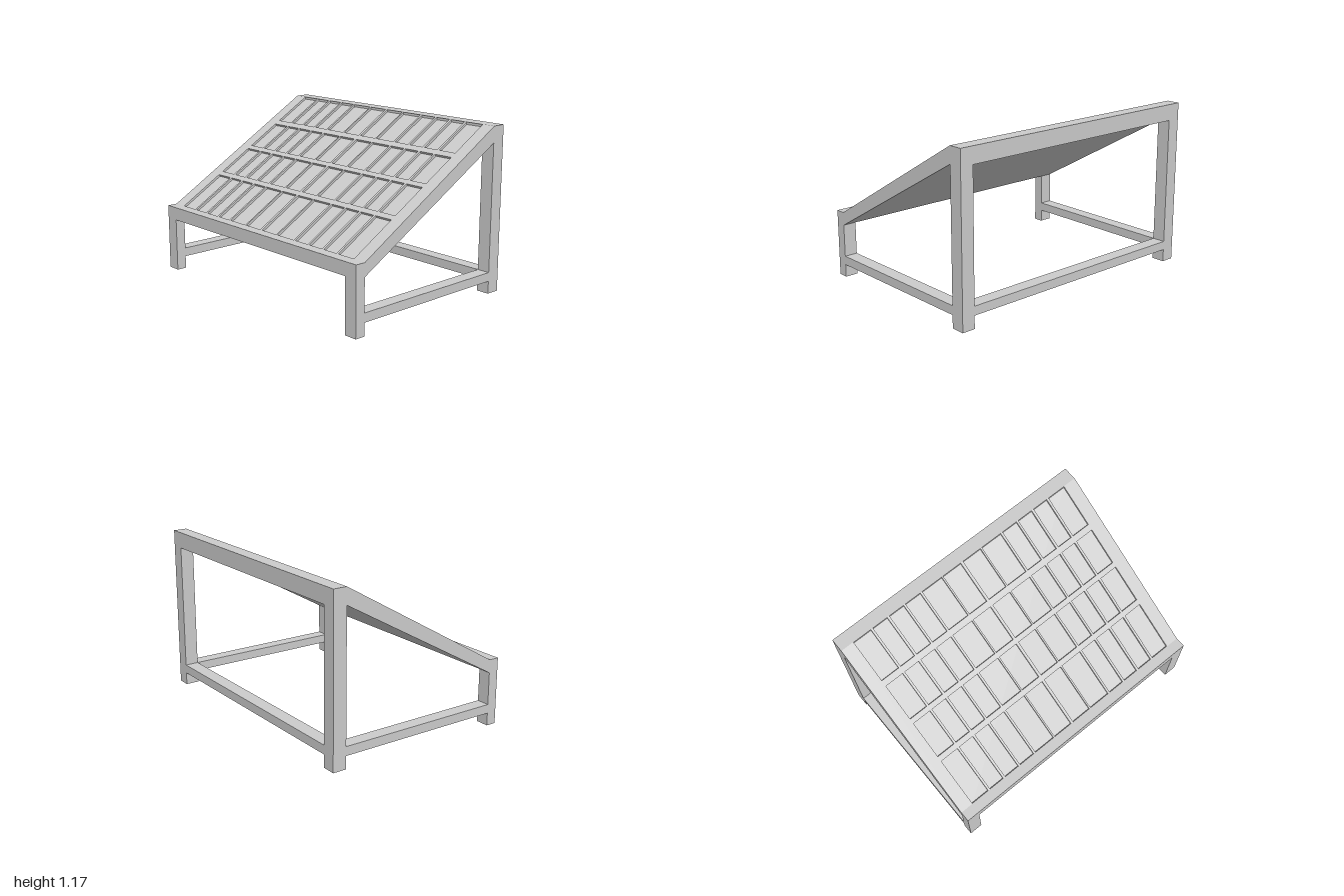
import * as THREE from 'three';

export function createModel() {
  const model = new THREE.Group();
  const material = new THREE.MeshStandardMaterial({ color: 0xcccccc, flatShading: true });

  const add = (name, geometry) => {
    const mesh = new THREE.Mesh(geometry, material);
    mesh.name = name;
    model.add(mesh);
    return mesh;
  };
  // Box given by its limits on each axis
  const box = (name, [x0, x1], [y0, y1], [z0, z1]) =>
    add(name, new THREE.BoxGeometry(x1 - x0, y1 - y0, z1 - z0))
      .position.set((x0 + x1) / 2, (y0 + y1) / 2, (z0 + z1) / 2);
  // Profile of [z, y] points extruded along x about a centre
  const slab = (name, points, width, x) => {
    const shape = new THREE.Shape(points.map(([z, y]) => new THREE.Vector2(z, y)));
    const geometry = new THREE.ExtrudeGeometry(shape, { depth: width, bevelEnabled: false });
    geometry.translate(0, 0, -width / 2).rotateY(-Math.PI / 2);
    add(name, geometry).position.x = x;
  };

  const frontZ = [0.61, 0.683], backZ = [-0.683, -0.585];
  const inner = 0.904, lowY = 0.475, highY = 1.172;
  const run = frontZ[0] - backZ[1], rise = highY - lowY;
  const angle = Math.atan2(rise, run), depth = 0.016;
  const drop = depth / Math.cos(angle);

  // Legs, sloping side rails and low side stretchers
  for (const side of [-1, 1]) {
    const xs = side > 0 ? [inner, 1] : [-1, -inner];
    box('frontLeg', xs, [0, lowY], frontZ);
    box('backLeg', xs, [0, highY], backZ);
    box('sideStretcher', xs, [0.09, 0.153], [backZ[1], frontZ[0]]);
    slab('slopingRail', [[frontZ[0], 0.382], [frontZ[0], lowY], [backZ[1], highY], [backZ[1], 1.057]],
      1 - inner, side * (1 + inner) / 2);
  }

  // Cross rails
  box('frontRail', [-inner, inner], [0.382, lowY], frontZ);
  box('backRail', [-inner, inner], [1.057, highY], backZ);
  box('backStretcher', [-inner, inner], [0.09, 0.153], backZ);

  // Sloping board forming the floor of the compartments
  slab('slopingBoard', [[frontZ[0], 0.382], [frontZ[0], lowY - drop], [backZ[1], highY - drop], [backZ[1], 1.057]],
    inner * 2, 0);

  // Grid of raised dividers: a sheet pierced by rows of rectangular cells
  const length = Math.hypot(run, rise);
  const rect = (path, x0, x1, s0, s1) =>
    path.moveTo(x0, s0).lineTo(x1, s0).lineTo(x1, s1).lineTo(x0, s1).closePath();
  const sheet = new THREE.Shape();
  rect(sheet, -inner, inner, 0, length);
  const columns = [[0.01, 0.16], [0.172, 0.337], [0.353, 0.476], [0.492, 0.61], [0.628, 0.745], [0.762, 0.902]];
  const rows = [[0.608, 0.285], [0.25, 0.003], [-0.03, -0.27], [-0.31, -0.583]];
  const along = z => (frontZ[0] - z) / Math.cos(angle);
  for (const [z0, z1] of rows) {
    for (const [x0, x1] of columns) {
      for (const [a, b] of [[x0, x1], [-x1, -x0]]) {
        const hole = new THREE.Path();
        rect(hole, a, b, along(z0), along(z1));
        sheet.holes.push(hole);
      }
    }
  }
  const dividers = new THREE.ExtrudeGeometry(sheet, { depth, bevelEnabled: false });
  dividers.translate(0, 0, -depth).rotateX(angle - Math.PI / 2);
  add('compartmentDividers', dividers).position.set(0, lowY, frontZ[0]);

  return model;
}
